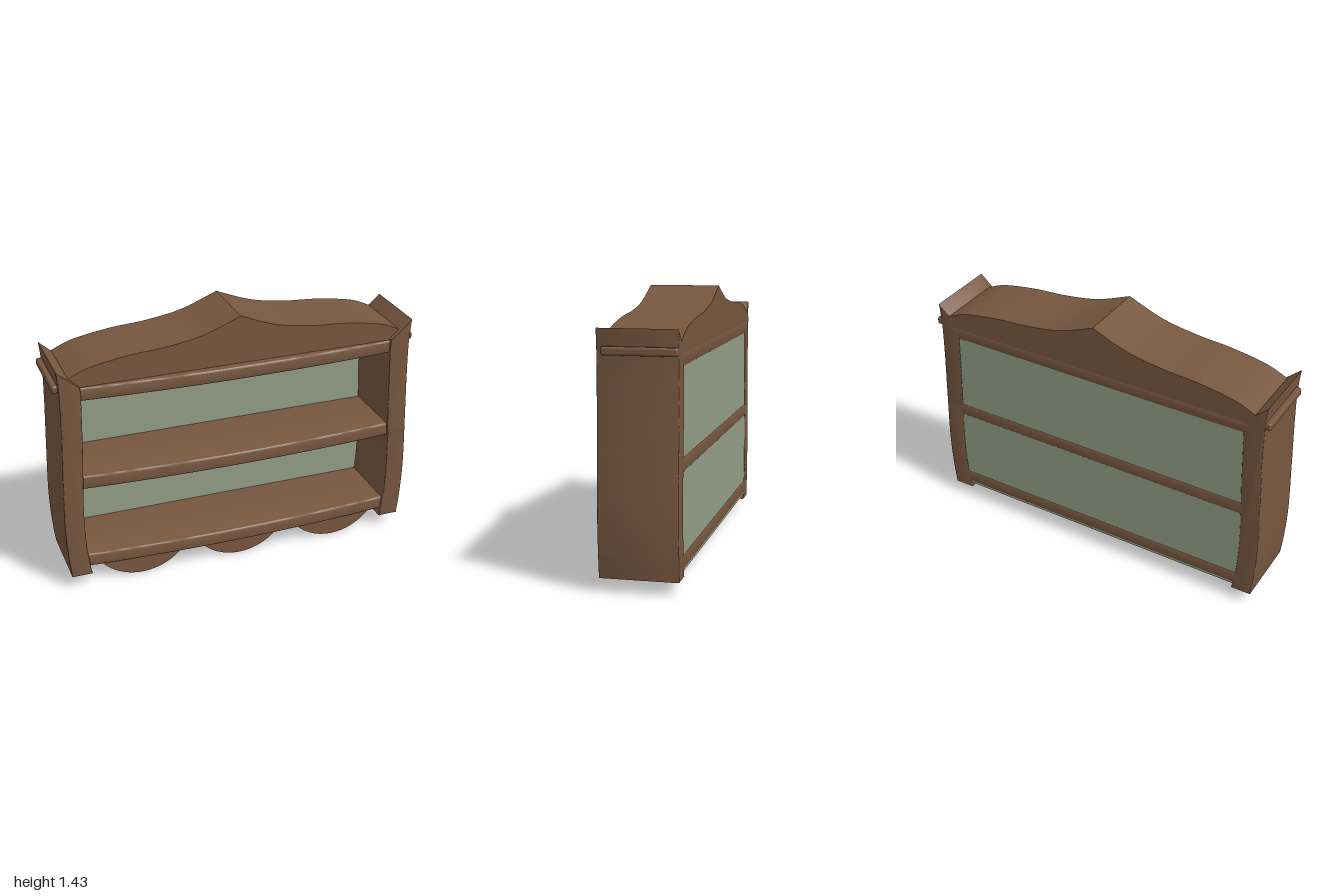
import * as THREE from 'three';
import { toCreasedNormals } from 'three/addons/utils/BufferGeometryUtils.js';
import { RoundedBoxGeometry } from 'three/addons/geometries/RoundedBoxGeometry.js';

const wood = new THREE.MeshStandardMaterial({ color: 0x77573f });
wood.name = 'brownWood';
const panelPaint = new THREE.MeshStandardMaterial({ color: 0x929d85 });
panelPaint.name = 'sageGreen';

const BACK = -0.21;
const v = (x, y) => new THREE.Vector2(x, y);

// Extrudes an outline from z0 to z1, keeping hard corners and smooth curves
function slab(shape, z0, z1, bevel = 0) {
  const geo = new THREE.ExtrudeGeometry(shape, {
    depth: z1 - z0 - 2 * bevel,
    curveSegments: 32,
    bevelEnabled: bevel > 0,
    bevelThickness: bevel,
    bevelSize: bevel,
    bevelOffset: -bevel,
    bevelSegments: 3,
  });
  geo.translate(0, 0, z0 + bevel);
  return toCreasedNormals(geo, 0.6);
}

export function createModel() {
  const group = new THREE.Group();
  const add = (name, geo, mat = wood) => {
    const mesh = new THREE.Mesh(geo, mat);
    mesh.name = name;
    group.add(mesh);
    return mesh;
  };

  // Gently bowed side boards with a sloping, pointed top
  for (const [name, s] of [['leftSide', 1], ['rightSide', -1]]) {
    const outer = [[0.967, 0.07], [0.98, 0.2], [0.988, 0.4], [0.98, 0.7], [0.972, 0.95], [0.97, 1.15], [0.98, 1.285]];
    const inner = [[0.86, 1.1], [0.868, 0.8], [0.881, 0.5], [0.88, 0.3], [0.868, 0.15], [0.855, 0.07]];
    const toPoints = (list) => list.map(([x, y]) => v(s * x, y));
    const side = new THREE.Shape();
    side.moveTo(s * outer[0][0], outer[0][1]);
    side.splineThru(toPoints(outer.slice(1)));
    side.lineTo(s * 0.862, 1.18);
    side.splineThru(toPoints(inner));
    side.closePath();
    add(name, slab(side, BACK, 0.19, 0.004));
  }

  // Three shelves with bowed, softened front edges
  [['bottomShelf', 0.11, 0.185], ['middleShelf', 0.59, 0.665], ['topShelf', 1.1, 1.172]].forEach(([name, y0, y1]) => {
    const plan = new THREE.Shape();
    plan.moveTo(-0.9, BACK);
    plan.lineTo(0.9, BACK);
    plan.lineTo(0.9, 0.172);
    plan.quadraticCurveTo(0, 0.248, -0.9, 0.172);
    plan.closePath();
    const geo = slab(plan, 0, y1 - y0, 0.01);
    geo.rotateX(Math.PI / 2);
    add(name, geo).position.y = y1;
  });

  // Back panel
  const panel = new THREE.BoxGeometry(1.78, 1.06, 0.015);
  add('backPanel', panel, panelPaint).position.set(0, 0.63, -0.2);

  // Top board whose rounded ends stand out beyond the sides
  const board = new RoundedBoxGeometry(2, 0.042, 0.375, 3, 0.012);
  add('topBoard', board).position.set(0, 1.178, -0.0225);

  // Swept crest rising to a central point
  const crest = new THREE.Shape();
  crest.moveTo(-0.915, 1.165);
  crest.lineTo(-0.915, 1.228);
  crest.splineThru([[-0.8, 1.274], [-0.6, 1.308], [-0.4, 1.324], [-0.2, 1.359], [0, 1.435]].map((p) => v(...p)));
  crest.splineThru([[0.2, 1.359], [0.4, 1.324], [0.6, 1.308], [0.8, 1.274], [0.915, 1.228]].map((p) => v(...p)));
  crest.lineTo(0.915, 1.165);
  crest.closePath();
  add('crest', slab(crest, BACK, 0.165));

  // Three scallops hanging under the bottom shelf
  [-0.565, 0, 0.565].forEach((x, i) => {
    const r = 0.295;
    const half = Math.acos((r - 0.115) / r);
    const scallop = new THREE.Shape();
    scallop.absarc(0, r, r, -Math.PI / 2 - half, -Math.PI / 2 + half, false);
    scallop.closePath();
    add('scallop' + (i + 1), slab(scallop, 0.035, 0.165)).position.x = x;
  });

  return group;
}
